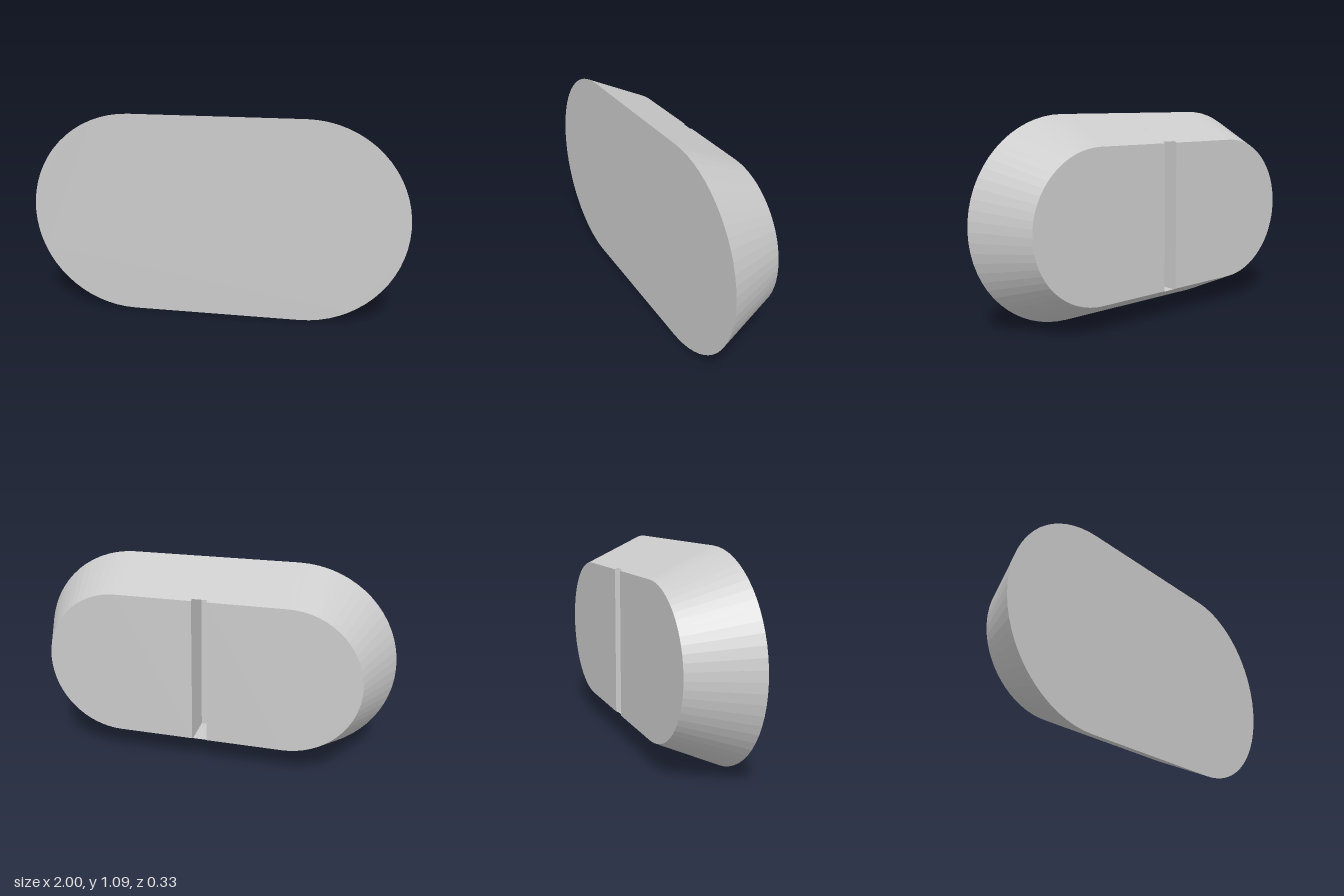
import * as THREE from 'three';

const HALF = 0.455;               // half length of the straight edges
const FRONT = { r: 0.545, z: 0.165 };
const BACK = { r: 0.395, z: -0.165 };
const LIP = { r: 0.402, z: -0.15 }; // where the slot ends cut the sloping wall
const SLOT = 0.04;                // half width of the slot
const FLOOR = 0.03;               // z of the slot floor
const SEGMENTS = 32;              // facets per rounded end

function stadium(r) {
  const s = new THREE.Shape();
  s.moveTo(-HALF, -r);
  s.lineTo(HALF, -r);
  s.absarc(HALF, 0, r, -Math.PI / 2, Math.PI / 2, false);
  s.absarc(-HALF, 0, r, Math.PI / 2, Math.PI * 1.5, false);
  return s;
}

// Half of the back face, beside the slot
function halfStadium(r) {
  const s = new THREE.Shape();
  s.moveTo(SLOT, -r);
  s.lineTo(HALF, -r);
  s.absarc(HALF, 0, r, -Math.PI / 2, Math.PI / 2, false);
  s.lineTo(SLOT, r);
  s.closePath();
  return s;
}

// Sloping wall lofted between the outlines, notched at the slot ends
function wallGeometry() {
  const columns = [];
  for (const side of [1, -1]) {
    for (let i = 0; i <= SEGMENTS; i++) {
      const a = (i / SEGMENTS - 0.5) * Math.PI;
      columns.push({ x: side * HALF, dx: side * Math.cos(a), dy: side * Math.sin(a), rim: BACK });
    }
    for (const [x, rim] of [[SLOT, BACK], [SLOT, LIP], [-SLOT, LIP], [-SLOT, BACK]]) {
      columns.push({ x: side * x, dx: 0, dy: side, rim });
    }
  }
  const point = (c, e) => [c.x + c.dx * e.r, c.dy * e.r, e.z];
  const positions = [];
  columns.forEach((a, i) => {
    const b = columns[(i + 1) % columns.length];
    const [fa, fb, ba, bb] = [point(a, FRONT), point(b, FRONT), point(a, a.rim), point(b, b.rim)];
    positions.push(...fa, ...ba, ...bb, ...fa, ...bb, ...fb);
  });
  const g = new THREE.BufferGeometry();
  g.setAttribute('position', new THREE.Float32BufferAttribute(positions, 3));
  g.computeVertexNormals();
  return g;
}

export function createModel() {
  const group = new THREE.Group();
  group.name = 'ovalBlock';
  const material = new THREE.MeshStandardMaterial({ color: 0xcccccc, flatShading: true });
  const thin = material.clone();
  thin.side = THREE.DoubleSide;

  const add = (name, geometry, mat = material) => {
    const mesh = new THREE.Mesh(geometry, mat);
    mesh.name = name;
    mesh.position.y = FRONT.r;
    group.add(mesh);
  };

  // Body
  add('slopingWall', wallGeometry());
  add('frontFace', new THREE.ShapeGeometry(stadium(FRONT.r), SEGMENTS / 2).translate(0, 0, FRONT.z));
  for (const [name, turn] of [['backFaceRight', 0], ['backFaceLeft', Math.PI]]) {
    add(name, new THREE.ShapeGeometry(halfStadium(BACK.r), SEGMENTS / 2)
      .rotateZ(turn).rotateY(Math.PI).translate(0, 0, BACK.z));
  }

  // Slot: side walls, ends and floor
  const side = new THREE.Shape([
    [BACK.z, -BACK.r], [LIP.z, -LIP.r], [FLOOR, -LIP.r],
    [FLOOR, LIP.r], [LIP.z, LIP.r], [BACK.z, BACK.r],
  ].map(([z, y]) => new THREE.Vector2(z, y)));
  const depth = FLOOR - LIP.z;
  for (const s of [1, -1]) {
    add(s > 0 ? 'slotWallLeft' : 'slotWallRight',
      new THREE.ShapeGeometry(side).rotateY(-Math.PI / 2).translate(s * SLOT, 0, 0), thin);
    add(s > 0 ? 'slotTop' : 'slotBottom',
      new THREE.PlaneGeometry(2 * SLOT, depth).rotateX(s * Math.PI / 2)
        .translate(0, s * LIP.r, (FLOOR + LIP.z) / 2));
  }
  add('slotFloor', new THREE.PlaneGeometry(2 * SLOT, 2 * LIP.r).rotateY(Math.PI).translate(0, 0, FLOOR));

  return group;
}
